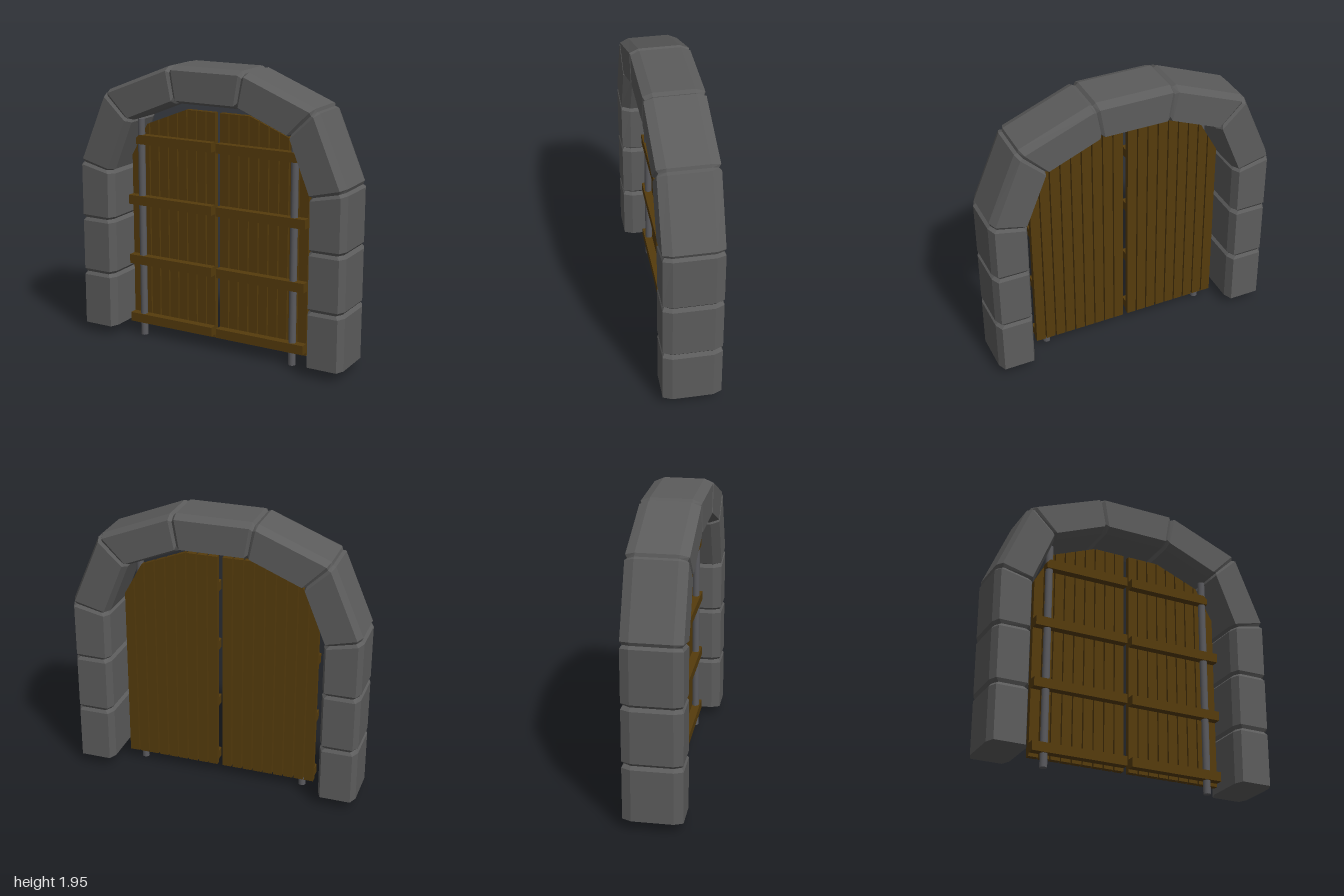
import * as THREE from 'three';

const stone = new THREE.MeshStandardMaterial({ color: 0x5c5c5c, name: 'stone grey' });
const wood = new THREE.MeshStandardMaterial({ color: 0x553b0c, name: 'dark oak' });
const iron = new THREE.MeshStandardMaterial({ color: 0x5a5a5e, name: 'iron grey' });

// Octagonal cross-section between an inner and an outer point
function ring(inner, outer, inset) {
  const dir = outer.clone().sub(inner);
  const length = dir.length();
  dir.normalize();
  const low = inset, high = length - inset, depth = 0.195 - inset * 0.7;
  const flat = 0.135, bevel = 0.026;
  return [
    [high, -flat], [high, flat], [high - bevel, depth], [low + bevel, depth],
    [low, flat], [low, -flat], [low + bevel, -depth], [high - bevel, -depth],
  ].map(([u, z]) => new THREE.Vector3(inner.x + dir.x * u, inner.y + dir.y * u, z));
}

// One bevelled block lofted between two joints; its ends narrow to leave notches
function blockGeometry(a, b, startInset, endInset) {
  const [ai, ao] = a, [bi, bo] = b;
  const t = 0.022 / ao.distanceTo(bo);
  const at = (k, inset) => ring(ai.clone().lerp(bi, k), ao.clone().lerp(bo, k), inset);
  const rings = [at(0, startInset), at(t, 0), at(1 - t, 0), at(1, endInset)];
  const points = [];
  for (let r = 0; r < 3; r++) {
    for (let j = 0; j < 8; j++) {
      const k = (j + 1) % 8, p = rings[r], q = rings[r + 1];
      points.push(p[j], p[k], q[k], p[j], q[k], q[j]);
    }
  }
  for (let j = 1; j < 7; j++) {
    points.push(rings[0][0], rings[0][j + 1], rings[0][j]);
    points.push(rings[3][0], rings[3][j], rings[3][j + 1]);
  }
  const geometry = new THREE.BufferGeometry().setFromPoints(points);
  geometry.computeVertexNormals();
  return geometry;
}

function buildArch() {
  const arch = new THREE.Group();
  arch.name = 'stoneArch';
  // Joints of the left half: inner x, inner y, outer x, outer y
  const half = [
    [-0.74, 0.07, -1, 0.07], [-0.74, 0.45, -1, 0.45], [-0.74, 0.845, -1, 0.845],
    [-0.74, 1.19, -1, 1.25], [-0.592, 1.555, -0.788, 1.746], [-0.23, 1.703, -0.275, 1.952],
  ];
  const mirrored = half.map(([ix, iy, ox, oy]) => [-ix, iy, -ox, oy]).reverse();
  const joints = [...half, ...mirrored].map(([ix, iy, ox, oy]) =>
    [new THREE.Vector3(ix, iy, 0), new THREE.Vector3(ox, oy, 0)]);
  const last = joints.length - 2;
  for (let i = 0; i <= last; i++) {
    const geometry = blockGeometry(joints[i], joints[i + 1], i === 0 ? 0 : 0.02, i === last ? 0 : 0.02);
    const block = new THREE.Mesh(geometry, stone);
    block.name = i < 3 || i > last - 3 ? 'pillarBlock' : 'archBlock';
    arch.add(block);
  }
  return arch;
}

// Height of the door's cut top at a distance from the middle
function doorTop(x) {
  if (x <= 0.24) return 1.64;
  if (x <= 0.55) return 1.64 - (x - 0.24) * 0.4;
  return 1.516 - (x - 0.55) * 1.8;
}

// Upright prism from a front outline, between two depths
function slab(outline, side, back, front) {
  const shape = new THREE.Shape(outline.map(([x, y]) => new THREE.Vector2(x * side, y)));
  const geometry = new THREE.ExtrudeGeometry(shape, { depth: front - back, bevelEnabled: false });
  return geometry.translate(0, 0, back);
}

function buildDoor(side) {
  const door = new THREE.Group();
  door.name = side > 0 ? 'leftDoor' : 'rightDoor';
  const add = (geometry, material, name) => {
    const mesh = new THREE.Mesh(geometry, material);
    mesh.name = name;
    door.add(mesh);
  };
  const near = 0.018, far = 0.675, count = 9, gap = 0.009;
  const pitch = (far - near + gap) / count;

  // Planks
  for (let i = 0; i < count; i++) {
    const a = near + i * pitch, b = a + pitch - gap;
    const outline = [[a, 0.07], [b, 0.07], [b, doorTop(b)]];
    for (const bend of [0.55, 0.24]) {
      if (bend > a && bend < b) outline.push([bend, doorTop(bend)]);
    }
    outline.push([a, doorTop(a)]);
    add(slab(outline, side, -0.022, 0.015), wood, 'plank');
  }

  // Cross battens, the highest one shorter with a clipped corner
  for (const y of [0.093, 0.522, 0.951, 1.381]) {
    const top = y + 0.064;
    const outline = y > 1.3
      ? [[near, y], [0.61, y], [0.61, top - 0.025], [0.585, top], [near, top]]
      : [[near, y], [far, y], [far, top], [near, top]];
    add(slab(outline, side, 0.015, 0.07), wood, 'batten');
  }

  // Hinge pole
  const pole = new THREE.CylinderGeometry(0.025, 0.025, 1.555, 12);
  add(pole.translate(side * 0.583, 0.7775, 0.038), iron, 'hingePole');
  return door;
}

export function createModel() {
  const model = new THREE.Group();
  model.name = 'archedGate';
  model.add(buildArch(), buildDoor(1), buildDoor(-1));
  return model;
}
